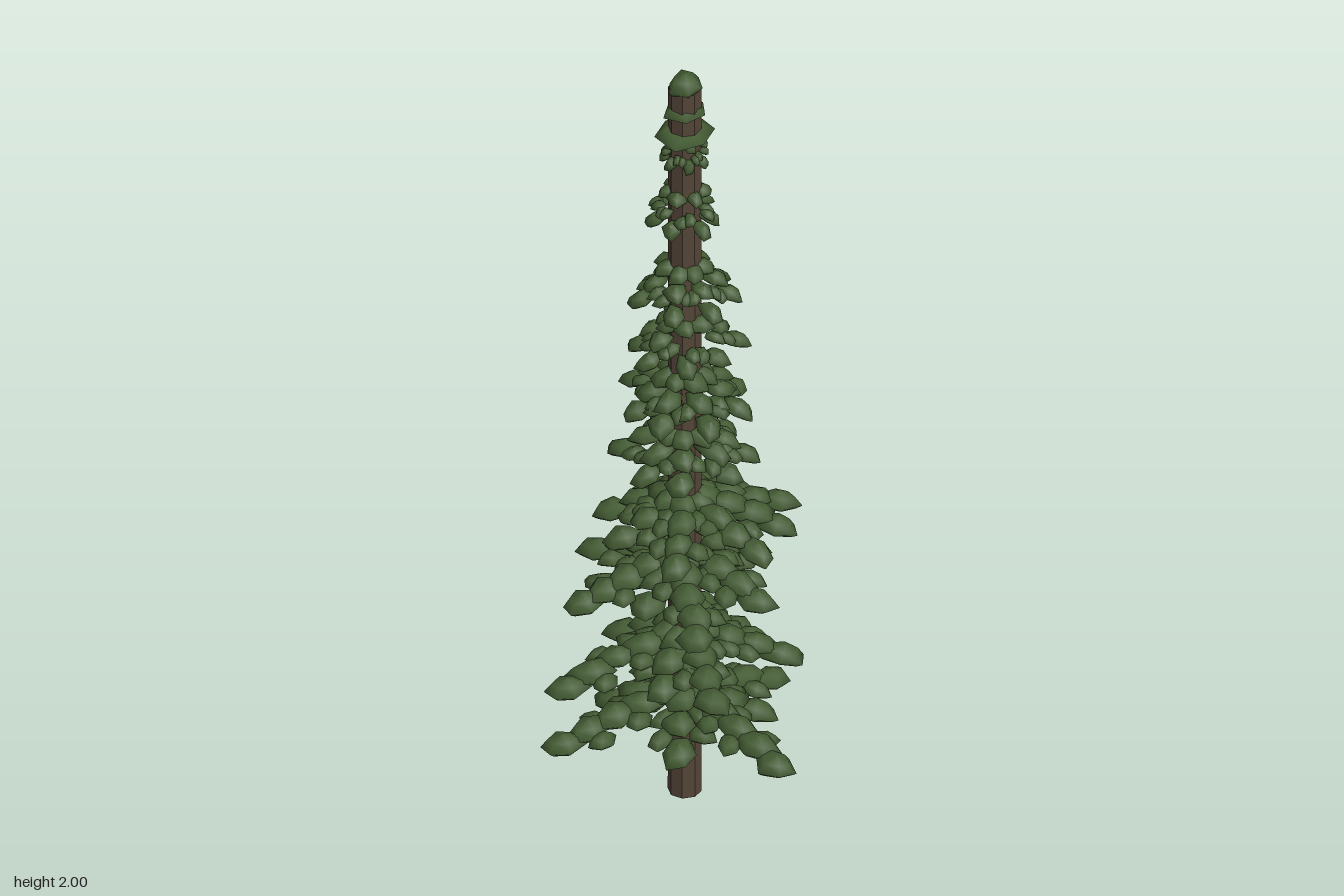
import * as THREE from 'three';
import { mergeGeometries } from 'three/addons/utils/BufferGeometryUtils.js';

const CX = -0.04, CZ = -0.04; // trunk axis

function seeded(seed) {
  let s = seed;
  return () => {
    s = (s * 16807) % 2147483647;
    return s / 2147483647;
  };
}

// One six-sided needle clump: a shallow dome with a drooping rim
function clump(x, y, z, angle, tilt, length, thick, width, wobble) {
  const profile = [[0, -0.6], [0.75, -0.85], [1, -0.35], [0.65, 0.55], [0, 1]]
    .map(([r, h]) => new THREE.Vector2(r, h));
  const g = new THREE.LatheGeometry(profile, 6);
  const p = g.attributes.position;
  for (let i = 0; i < p.count; i++) {
    const a = Math.atan2(p.getZ(i), p.getX(i));
    const k = 1 + 0.13 * Math.sin(2 * a + wobble) + 0.09 * Math.cos(3 * a - wobble);
    p.setX(i, p.getX(i) * k);
    p.setZ(i, p.getZ(i) * k);
  }
  const turn = new THREE.Quaternion().setFromEuler(new THREE.Euler(0, -angle, -tilt, 'YZX'));
  return g.applyMatrix4(new THREE.Matrix4().compose(
    new THREE.Vector3(x, y, z), turn, new THREE.Vector3(length, thick, width)));
}

// A branch is a drooping chain of overlapping clumps with smaller side clumps
function branch(parts, angle, reach, tier, rand) {
  const { top, bottom, size } = tier;
  const thick = size * 0.38 + 0.006;
  const start = 0.04, end = Math.max(reach - size * 1.1, 0.045);
  const yStart = top - thick, yEnd = bottom + thick + size * 0.1;
  const n = Math.max(1, Math.round((end - start) / (size * 1.5)));
  const tilt = 0.6 * Math.atan2(yStart - yEnd, end - start + size);
  const put = (t, side, scale) => {
    const r = start + (end - start) * t;
    const a = angle + (rand() - 0.5) * 0.1;
    const x = CX + Math.cos(a) * r - Math.sin(a) * side;
    const z = CZ + Math.sin(a) * r + Math.cos(a) * side;
    const y = yStart + (yEnd - yStart) * Math.pow(t, 1.2) - Math.abs(side) * 0.3;
    const turn = a + Math.sign(side) * 0.6;
    parts.push(clump(x, y, z, turn, tilt * (0.4 + 0.6 * t) + (rand() - 0.5) * 0.15,
      size * 1.3 * scale, thick * scale, size * scale, rand() * 6));
  };
  for (let i = 0; i <= n; i++) put(i / n, 0, i === n ? 1 : 0.9 + rand() * 0.2);
  for (const t of reach > 0.2 ? [0.3, 0.62] : [0.6]) {
    for (const s of [-1, 1]) put(t + (rand() - 0.5) * 0.2, s * size * (0.85 + rand() * 0.3), 0.72);
  }
}

export function createModel() {
  const tree = new THREE.Group();
  tree.name = 'conifer';
  const bark = new THREE.MeshStandardMaterial({ color: 0x544437 });
  bark.name = 'bark brown';
  bark.flatShading = true;
  const needles = new THREE.MeshStandardMaterial({ color: 0x435b33 });
  needles.name = 'needle green';

  // Trunk
  const trunk = new THREE.Mesh(new THREE.CylinderGeometry(0.039, 0.04, 1.96, 8), bark);
  trunk.name = 'trunk';
  trunk.position.set(CX, 0.98, CZ);
  tree.add(trunk);

  // Wide lower tiers list branch tips [x, z]; upper tiers list reach [+x, -x, +z, -z]
  const tiers = [
    { top: 0.31, bottom: 0.205, size: 0.043, tips: [[0.325, -0.08], [0.14, 0.12], [-0.1, 0.325],
      [-0.2, 0.1], [-0.325, -0.12], [-0.2, -0.23], [-0.03, -0.325], [0.1, -0.2]] },
    { top: 0.48, bottom: 0.37, size: 0.043, tips: [[0.225, 0.05], [0.08, 0.14], [-0.09, 0.325],
      [-0.235, 0.04], [-0.2, -0.23], [-0.05, -0.24], [0.14, -0.25]] },
    { top: 0.7, bottom: 0.585, size: 0.043, tips: [[0.235, 0.14], [0.03, 0.16], [-0.07, 0.275],
      [-0.285, 0.08], [-0.22, -0.08], [-0.28, -0.26], [-0.02, -0.265], [0.2, -0.12]] },
    { top: 0.85, bottom: 0.735, size: 0.041, tips: [[0.215, -0.1], [0.14, 0.13], [-0.06, 0.17],
      [-0.21, 0.1], [-0.225, -0.07], [-0.17, -0.22], [0.04, -0.305], [0.14, -0.23]] },
    { top: 1.03, bottom: 0.915, size: 0.034, reach: [0.165, 0.2, 0.16, 0.18], count: 7 },
    { top: 1.185, bottom: 1.065, size: 0.033, reach: [0.16, 0.19, 0.15, 0.17], count: 7 },
    { top: 1.335, bottom: 1.225, size: 0.028, reach: [0.12, 0.13, 0.14, 0.16], count: 7 },
    { top: 1.485, bottom: 1.375, size: 0.028, reach: [0.14, 0.11, 0.14, 0.13], count: 7 },
    { top: 1.69, bottom: 1.585, size: 0.023, reach: [0.095, 0.11, 0.09, 0.08], count: 6 },
    { top: 1.835, bottom: 1.755, size: 0.016, reach: [0.06, 0.065, 0.06, 0.065], count: 6 },
  ];
  tiers.forEach((tier, i) => {
    const rand = seeded(101 + i * 977);
    const parts = [];
    if (tier.tips) {
      for (const [x, z] of tier.tips) {
        branch(parts, Math.atan2(z - CZ, x - CX), Math.hypot(x - CX, z - CZ), tier, rand);
      }
    } else {
      const [px, nx, pz, nz] = tier.reach;
      for (let k = 0; k < tier.count; k++) {
        const a = (k / tier.count) * Math.PI * 2 + (rand() - 0.5) * 0.25 + i * 0.4;
        const c = Math.cos(a), s = Math.sin(a);
        branch(parts, a, Math.hypot(c * (c > 0 ? px : nx), s * (s > 0 ? pz : nz)), tier, rand);
      }
    }
    const mesh = new THREE.Mesh(mergeGeometries(parts), needles);
    mesh.name = 'branchTier' + (i + 1);
    tree.add(mesh);
  });

  // Caps around the crown: [y, radius, half thickness, turn]
  [[1.84, 0.073, 0.016, 0.4], [1.905, 0.055, 0.018, 1.1], [1.975, 0.046, 0.025, 2]].forEach(
    ([y, r, h, turn], i) => {
      const cap = new THREE.Mesh(clump(CX, y, CZ, turn, 0.05, r, h, r, i * 2), needles);
      cap.name = 'crownCap' + (i + 1);
      tree.add(cap);
    });
  return tree;
}
